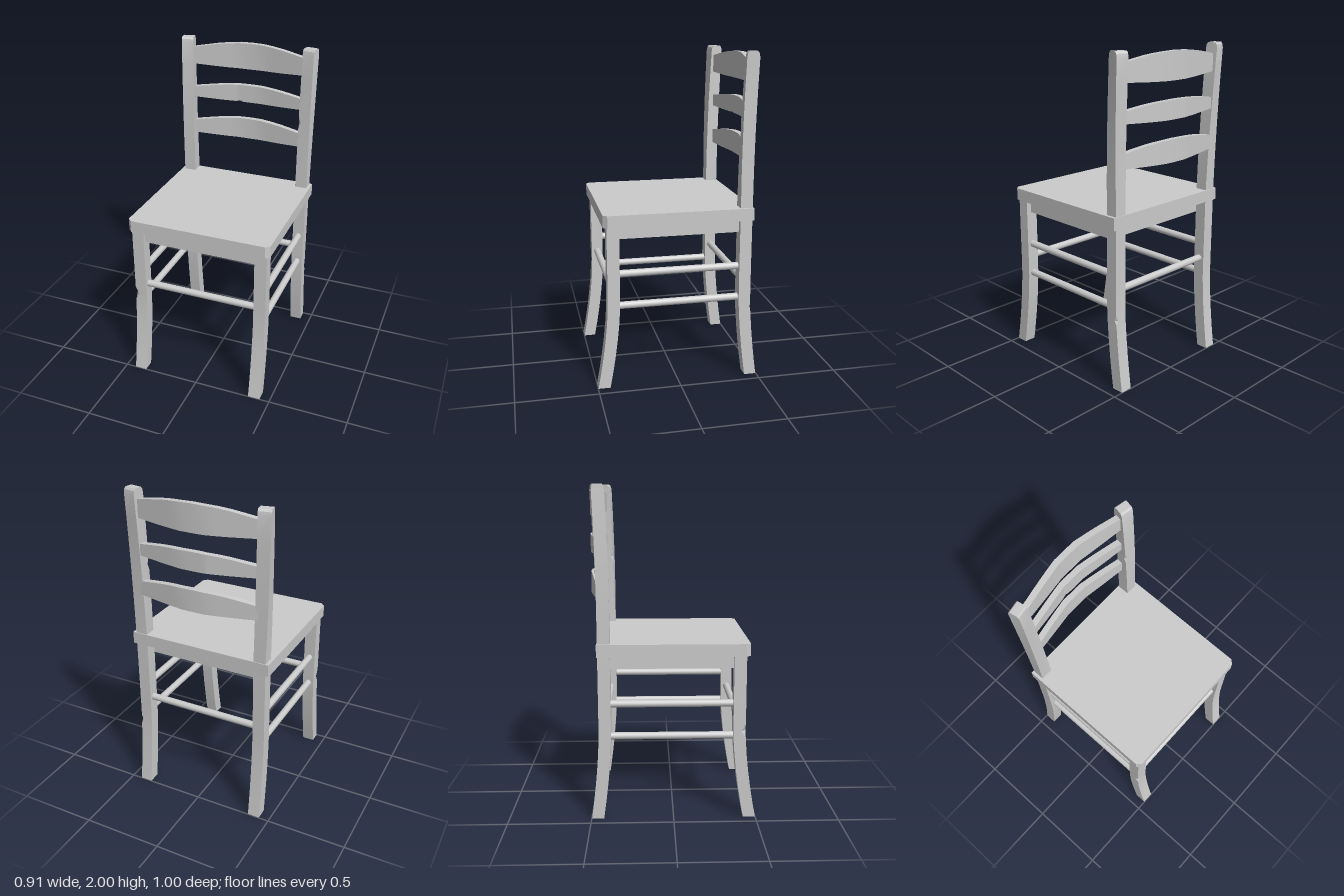
import * as THREE from 'three';
import { toCreasedNormals } from 'three/addons/utils/BufferGeometryUtils.js';

const material = new THREE.MeshStandardMaterial({ color: 0xcccccc });
const clamp = THREE.MathUtils.clamp;

function addMesh(group, name, geometry, x = 0, y = 0, z = 0) {
  const mesh = new THREE.Mesh(geometry, material);
  mesh.name = name;
  mesh.position.set(x, y, z);
  group.add(mesh);
  return mesh;
}

// Closed solid through rings that run counterclockwise about the direction of travel
function loft(rings) {
  const n = rings[0].length;
  const last = rings.length - 1;
  const index = [];
  for (let i = 0; i < last; i++) {
    for (let j = 0; j < n; j++) {
      const k = (j + 1) % n;
      const a = i * n + j, b = i * n + k;
      index.push(a, b, b + n, a, b + n, a + n);
    }
  }
  for (let j = 1; j < n - 1; j++) {
    index.push(0, j + 1, j);
    index.push(last * n, last * n + j, last * n + j + 1);
  }
  const geometry = new THREE.BufferGeometry().setFromPoints(rings.flat());
  geometry.setIndex(index);
  return toCreasedNormals(geometry, 0.45);
}

// Splits one corner of a ring in two, so that an edge can carry a small chip
function chipCorner(ring, chip, along) {
  if (!chip) return ring;
  const cut = Math.max(0.0005, chip.size * (1 - Math.abs(along - chip.at) / chip.half));
  const n = ring.length;
  const p = ring[chip.corner];
  const toward = (q) => p.clone().add(q.clone().sub(p).setLength(cut));
  const pair = [toward(ring[(chip.corner + n - 1) % n]), toward(ring[(chip.corner + 1) % n])];
  return ring.flatMap((q, i) => (i === chip.corner ? pair : [q]));
}

function stations(list, chips) {
  const extra = chips ? [chips.at - chips.half, chips.at, chips.at + chips.half] : [];
  return [...new Set([...list, ...extra])].sort((a, b) => a - b);
}

// Upright timber; place(y) gives its centre, half depth and twist
// Corners: 0 +x front, 1 +x back, 2 -x back, 3 -x front
const UP = new THREE.Vector3(0, 1, 0);
function upright(heights, place, chip) {
  return loft(stations(heights, chip).map((y) => {
    const { x, z, hz = 0.037, yaw = 0 } = place(y);
    const hx = 0.038;
    const ring = [[hx, hz], [hx, -hz], [-hx, -hz], [-hx, hz]].map(([u, w]) =>
      new THREE.Vector3(u, 0, w).applyAxisAngle(UP, yaw).add(new THREE.Vector3(x, y, z)));
    return chipCorner(ring, chip, y);
  }));
}

// Curved back slat; corners: 0 top front, 1 bottom front, 2 bottom back, 3 top back
function slat(end, mid, chip) {
  const xs = [-0.385, -0.3, -0.22, -0.15, -0.075, 0, 0.075, 0.15, 0.22, 0.3, 0.385];
  return loft(stations(xs, chip).map((x) => {
    const k = Math.min(1, (x / 0.37) ** 2);
    const bottom = THREE.MathUtils.lerp(mid[0], end[0], k);
    const top = THREE.MathUtils.lerp(mid[1], end[1], k);
    const back = -0.498 + 0.15 * Math.max(0, Math.abs(x) - 0.075);
    const front = back + 0.037;
    const ring = [[top, front], [bottom, front], [bottom, back], [top, back]]
      .map(([y, z]) => new THREE.Vector3(x, y, z));
    return chipCorner(ring, chip, x);
  }));
}

export function createModel() {
  const chair = new THREE.Group();
  chair.name = 'chair';

  // Seat board with clipped front corners
  const w = 0.455, f = 0.453, c = 0.025;
  const outline = new THREE.Shape([
    [-w, f], [w, f], [w, -f + c], [w - c, -f], [-w + c, -f], [-w, -f + c],
  ].reverse().map(([x, y]) => new THREE.Vector2(x, y)));
  const board = new THREE.ExtrudeGeometry(outline, { depth: 0.075, bevelEnabled: false });
  board.rotateX(-Math.PI / 2);
  addMesh(chair, 'seat', board, 0, 1.01, 0);

  // Apron block under the seat
  addMesh(chair, 'apron', new THREE.BoxGeometry(0.81, 0.085, 0.785), 0, 0.9725, 0.0175);

  // Legs splay toward the floor; the back legs run on into twisted posts
  const splay = (y) => Math.pow(Math.max(0, 1 - y / 0.55), 1.6);
  const legHeights = [0, 0.1, 0.2, 0.3, 0.4, 0.5, 0.6];
  const postHeights = [1.1, 1.3, 1.5, 1.65, 1.8, 1.965, 1.988, 2];
  for (const s of [-1, 1]) {
    const side = s > 0 ? 'left' : 'right';
    const frontChip = s < 0 ? { corner: 3, at: 0.55, half: 0.045, size: 0.025 } : null;
    addMesh(chair, side + 'FrontLeg', upright([...legHeights, 1.03],
      (y) => ({ x: s * 0.398, z: 0.395 + 0.067 * splay(y) }), frontChip));

    const backChip = s > 0 ? { corner: 1, at: 0.45, half: 0.03, size: 0.014 } : null;
    addMesh(chair, side + 'BackLeg', upright([...legHeights, 1.05],
      (y) => ({ x: s * 0.398, z: -0.411 - 0.05 * splay(y) }), backChip));

    const postChip = s > 0 ? { corner: 3, at: 1.53, half: 0.04, size: 0.014 } : null;
    addMesh(chair, side + 'BackPost', upright([1.05, ...postHeights], (y) => {
      const t = clamp((y - 1.1) / 0.87, 0, 1);
      return {
        x: s * (0.398 + 0.01 * t) - 0.006 * t,
        z: -0.411 - 0.022 * t * t,
        hz: y > 1.99 ? 0.024 : y > 1.98 ? 0.033 : 0.037,
        yaw: -s * 0.19 * t,
      };
    }, postChip));
  }

  // Back slats: [bottom, top] at the ends and in the middle
  addMesh(chair, 'topSlat', slat([1.83, 1.935], [1.815, 1.981]));
  addMesh(chair, 'middleSlat', slat([1.605, 1.672], [1.592, 1.706],
    { corner: 1, at: -0.07, half: 0.025, size: 0.012 }));
  addMesh(chair, 'lowerSlat', slat([1.353, 1.438], [1.34, 1.477]));

  // Round stretchers: one across the front and back, two along each side
  const crossBar = new THREE.CylinderGeometry(0.022, 0.022, 0.74, 16).rotateZ(Math.PI / 2);
  addMesh(chair, 'frontStretcher', crossBar, 0, 0.622, 0.395);
  addMesh(chair, 'backStretcher', crossBar, 0, 0.622, -0.411);
  const sideBar = new THREE.CylinderGeometry(0.022, 0.022, 0.76, 16).rotateX(Math.PI / 2);
  for (const s of [-1, 1]) {
    for (const y of [0.515, 0.715]) addMesh(chair, 'sideStretcher', sideBar, s * 0.398, y, -0.008);
  }
  return chair;
}
